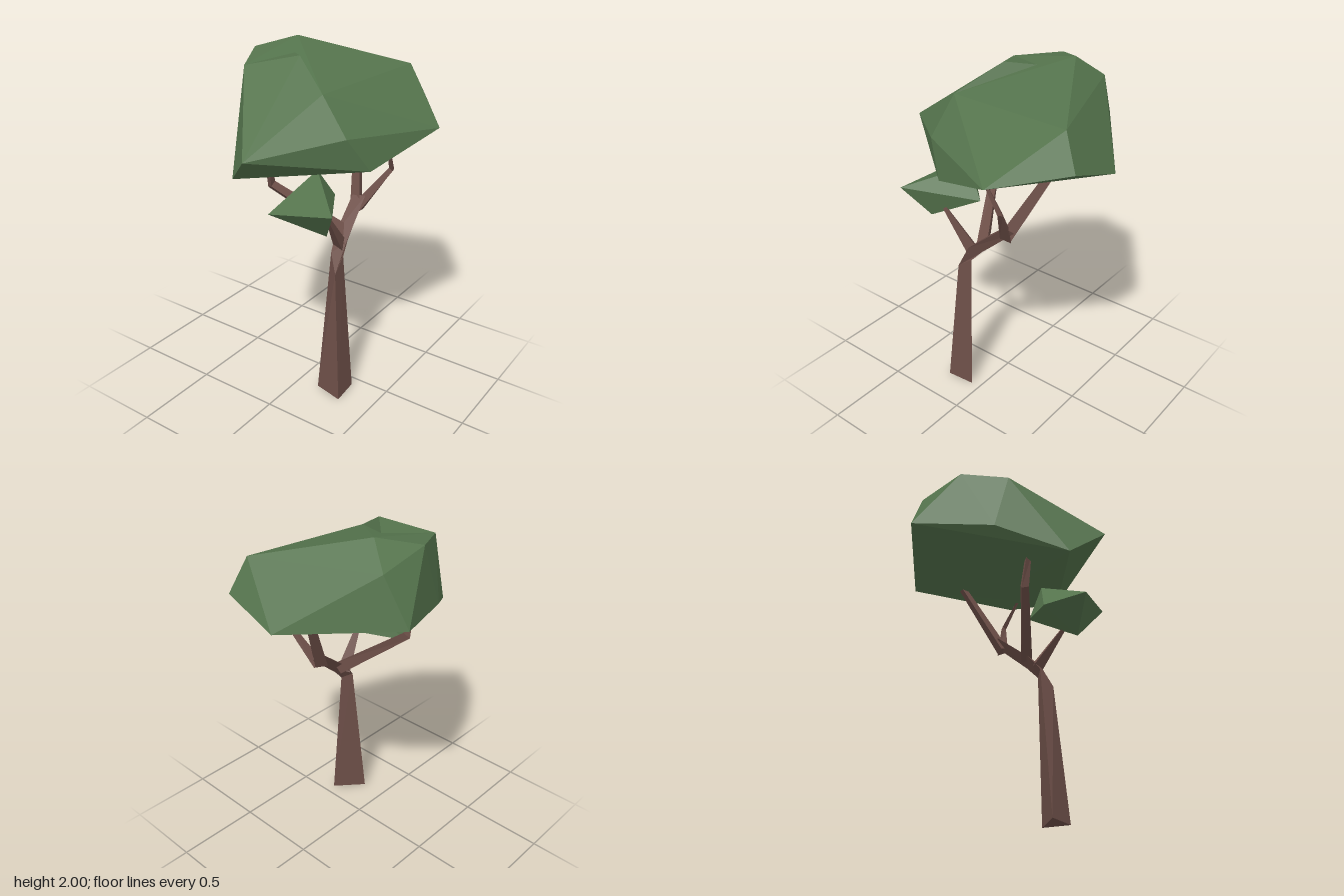
import * as THREE from 'three';
import { ConvexGeometry } from 'three/addons/geometries/ConvexGeometry.js';

const bark = new THREE.MeshStandardMaterial({ color: 0x6d4f48, flatShading: true });
bark.name = 'bark brown';
const leaf = new THREE.MeshStandardMaterial({ color: 0x54734c, flatShading: true });
leaf.name = 'leaf green';

// Joins triangular cross-sections (corners anticlockwise seen from the tip) and caps both ends
function loft(rings) {
  const pos = [];
  const tri = (...corners) => corners.forEach(p => pos.push(p.x, p.y, p.z));
  for (let i = 0; i < rings.length - 1; i++)
    for (let k = 0; k < 3; k++) {
      const n = (k + 1) % 3, a = rings[i], b = rings[i + 1];
      tri(a[k], a[n], b[n]);
      tri(a[k], b[n], b[k]);
    }
  tri(...[...rings[0]].reverse());
  tri(...rings[rings.length - 1]);
  const g = new THREE.BufferGeometry();
  g.setAttribute('position', new THREE.Float32BufferAttribute(pos, 3));
  g.computeVertexNormals();
  return g;
}

// Three-sided tapered branch through stations [x, y, z, radius]
function branchGeometry(stations) {
  const centres = stations.map(s => new THREE.Vector3(s[0], s[1], s[2]));
  const last = centres.length - 1;
  return loft(centres.map((c, i) => {
    const t = centres[Math.min(i + 1, last)].clone().sub(centres[Math.max(i - 1, 0)]).normalize();
    const u = new THREE.Vector3(1, 0, 0).addScaledVector(t, -t.x).normalize();
    const v = t.clone().cross(u);
    return [0, 1, 2].map(k => {
      const angle = -Math.PI / 4 + k * Math.PI * 2 / 3;
      return c.clone()
        .addScaledVector(u, Math.cos(angle) * stations[i][3])
        .addScaledVector(v, Math.sin(angle) * stations[i][3]);
    });
  }));
}

export function createModel() {
  const tree = new THREE.Group();
  tree.name = 'tree';
  const add = (name, geometry, material) => {
    const m = new THREE.Mesh(geometry, material);
    m.name = name;
    tree.add(m);
  };
  const toVectors = points => points.map(p => new THREE.Vector3(...p));
  const branch = (name, stations) => add(name, branchGeometry(stations), bark);
  const foliage = (name, points) => add(name, new ConvexGeometry(toVectors(points)), leaf);

  // Three-sided trunk, leaning backward above the bend
  add('trunk', loft([
    [[0.305, 0, 0.23], [0.29, 0, 0.06], [0.14, 0.012, 0.205]],
    [[0.24, 0.8, 0.18], [0.23, 0.87, 0.085], [0.178, 0.9, 0.13]],
    [[0.25, 0.96, 0.09], [0.215, 0.94, 0.02], [0.16, 0.99, 0.06]],
    [[0.22, 1.16, -0.15], [0.185, 1.125, -0.19], [0.14, 1.15, -0.14]],
  ].map(toVectors)), bark);

  // Branches
  branch('backBranch', [[0.18, 1.08, -0.13, 0.042], [0.03, 1.55, -0.365, 0.024]]);
  branch('leftBranch', [
    [0.185, 1.08, -0.14, 0.04], [0.345, 1.325, -0.225, 0.018], [0.37, 1.53, -0.12, 0.009],
  ]);
  branch('rightBranch', [
    [0.19, 0.99, 0.02, 0.044], [-0.165, 1.26, 0.22, 0.03], [-0.165, 1.46, 0.25, 0.021],
  ]);
  branch('frontBranch', [
    [0.21, 0.93, 0.08, 0.045], [0.25, 1.18, 0.27, 0.013],
  ]);

  // Main crown
  const ridgeRight = [-0.33, 1.91, 0.22], ridgeLeft = [0.18, 1.83, 0.22], frontTip = [0.01, 1.56, 0.66];
  foliage('crown', [
    ridgeRight, ridgeLeft, frontTip,
    [-0.03, 1.55, -0.665], [0.305, 1.66, -0.645], [0.58, 1.59, -0.31],
    [0.255, 1.85, -0.55], [-0.585, 1.62, -0.28], [-0.445, 1.88, -0.315],
    [-0.3, 2.0, -0.22], [-0.46, 1.95, -0.03], [-0.18, 1.39, 0.525],
    [-0.41, 1.55, 0.175], [0.345, 1.63, 0.245], [0.42, 1.44, 0.13], [0, 1.41, 0.1],
  ]);
  // Raised peak at the front of the crown
  foliage('crownPeak', [
    [-0.065, 1.97, 0.08], [-0.195, 1.945, -0.05], ridgeRight, ridgeLeft, frontTip,
  ]);
  // Small lower leaf clump
  foliage('lowerClump', [
    [0.12, 1.4, 0.18], [0.4, 1.29, 0.45], [0.285, 1.11, 0.33],
    [-0.08, 1.16, 0.3], [0.04, 1.24, 0.51], [0.16, 1.23, 0.07],
  ]);
  return tree;
}
